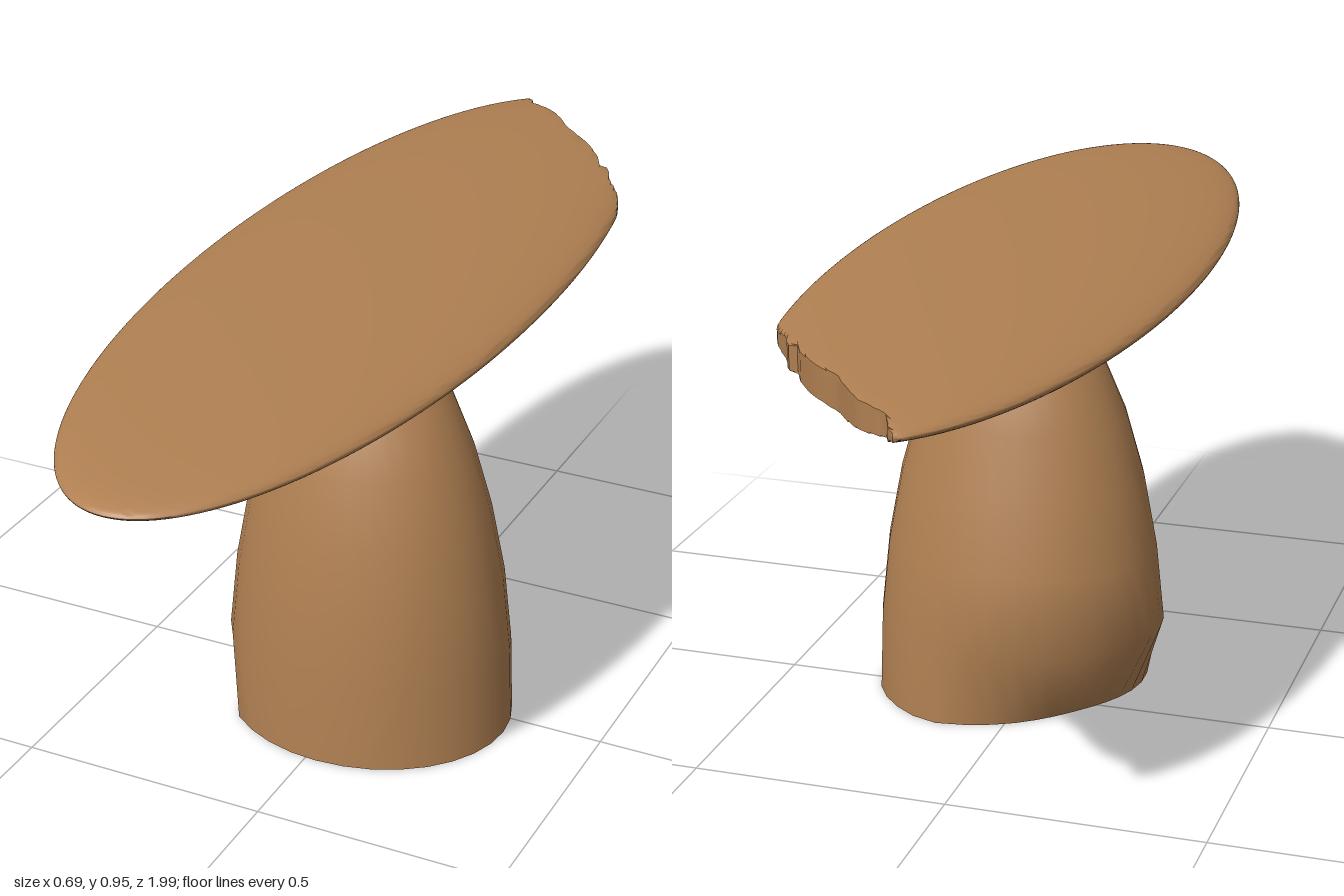
import * as THREE from 'three';
import { toCreasedNormals } from 'three/addons/utils/BufferGeometryUtils.js';

const material = new THREE.MeshStandardMaterial({ color: 0xb08052, side: THREE.DoubleSide });
const clamp = THREE.MathUtils.clamp;

// Piecewise linear lookup in a list of [input, output]
function lookup(table, t) {
  if (t <= table[0][0]) return table[0][1];
  for (let i = 1; i < table.length; i++) {
    const [a, va] = table[i - 1], [b, vb] = table[i];
    if (t <= b) return va + ((vb - va) * (t - a)) / (b - a);
  }
  return table[table.length - 1][1];
}

// Move every vertex of a geometry by a rule
function deform(geometry, rule) {
  const pos = geometry.attributes.position, v = new THREE.Vector3();
  for (let i = 0; i < pos.count; i++) {
    v.fromBufferAttribute(pos, i);
    rule(v);
    pos.setXYZ(i, v.x, v.y, v.z);
  }
  return geometry;
}

// Broken edge of the board in plan, as [x, z]
const brokenEdge = [
  [-0.1, -1.0], [-0.08, -0.98], [-0.065, -0.94], [0.0, -0.9], [0.03, -0.865], [0.07, -0.81],
  [0.13, -0.76], [0.18, -0.7], [0.2, -0.66], [0.22, -0.66], [0.24, -0.61], [0.28, -0.56], [0.31, -0.47],
];
const breakTable = brokenEdge.map(([x, z]) => [Math.atan2(x, -z), Math.hypot(x, z)]);
const breakStart = breakTable[0][0], breakEnd = breakTable[breakTable.length - 1][0];

// Ridge depth along the underside of the board
const ridge = [[0.28, 0], [0.43, 0.042], [0.55, 0.041], [0.66, 0.04], [0.88, 0]];

function createBoard() {
  const geometry = deform(new THREE.SphereGeometry(1, 160, 64), (v) => {
    const under = v.y < -0.05;
    v.set(v.x * 0.345, 0.898 + v.y * 0.053, v.z * 1.02 - 0.02);
    // ridge below, slightly left of the middle
    if (under) v.y -= lookup(ridge, v.z) * clamp(1 - Math.abs(v.x - 0.1) / 0.07, 0, 1);
    // flatten everything outside the break onto the broken edge
    const angle = Math.atan2(v.x, -v.z), r = Math.hypot(v.x, v.z);
    if (angle >= breakStart && angle <= breakEnd) {
      const limit = lookup(breakTable, angle);
      if (r > limit) {
        v.x *= limit / r;
        v.z *= limit / r;
      }
    }
  });
  const board = new THREE.Mesh(toCreasedNormals(geometry, 0.7), material);
  board.name = 'board';
  return board;
}

function createPedestal() {
  // open half ellipsoid
  const dome = new THREE.SphereGeometry(1, 32, 8, 0, Math.PI * 2, 0, Math.PI / 2);
  const geometry = deform(dome, (v) => {
    // back flattened at mid height
    if (v.z < 0) v.z *= 1 - 0.1 * clamp(1 - Math.abs(v.y - 0.65) / 0.3, 0, 1);
    // rim tucked in at the back right
    if (v.y < 0.05) {
      const facing = clamp(-v.x * 0.8 - v.z * 0.6 - 0.2, 0, 1);
      v.x *= 1 - 0.5 * facing;
      v.z *= 1 - 0.5 * facing;
    }
    v.set(0.022 + v.x * 0.292, Math.max(0, v.y * 0.84), 0.05 + v.z * 0.25);
  });
  const pedestal = new THREE.Mesh(toCreasedNormals(geometry, 1.0), material);
  pedestal.name = 'pedestal';
  return pedestal;
}

export function createModel() {
  const model = new THREE.Group();
  model.name = 'boardOnPedestal';
  model.add(createBoard(), createPedestal());
  return model;
}
